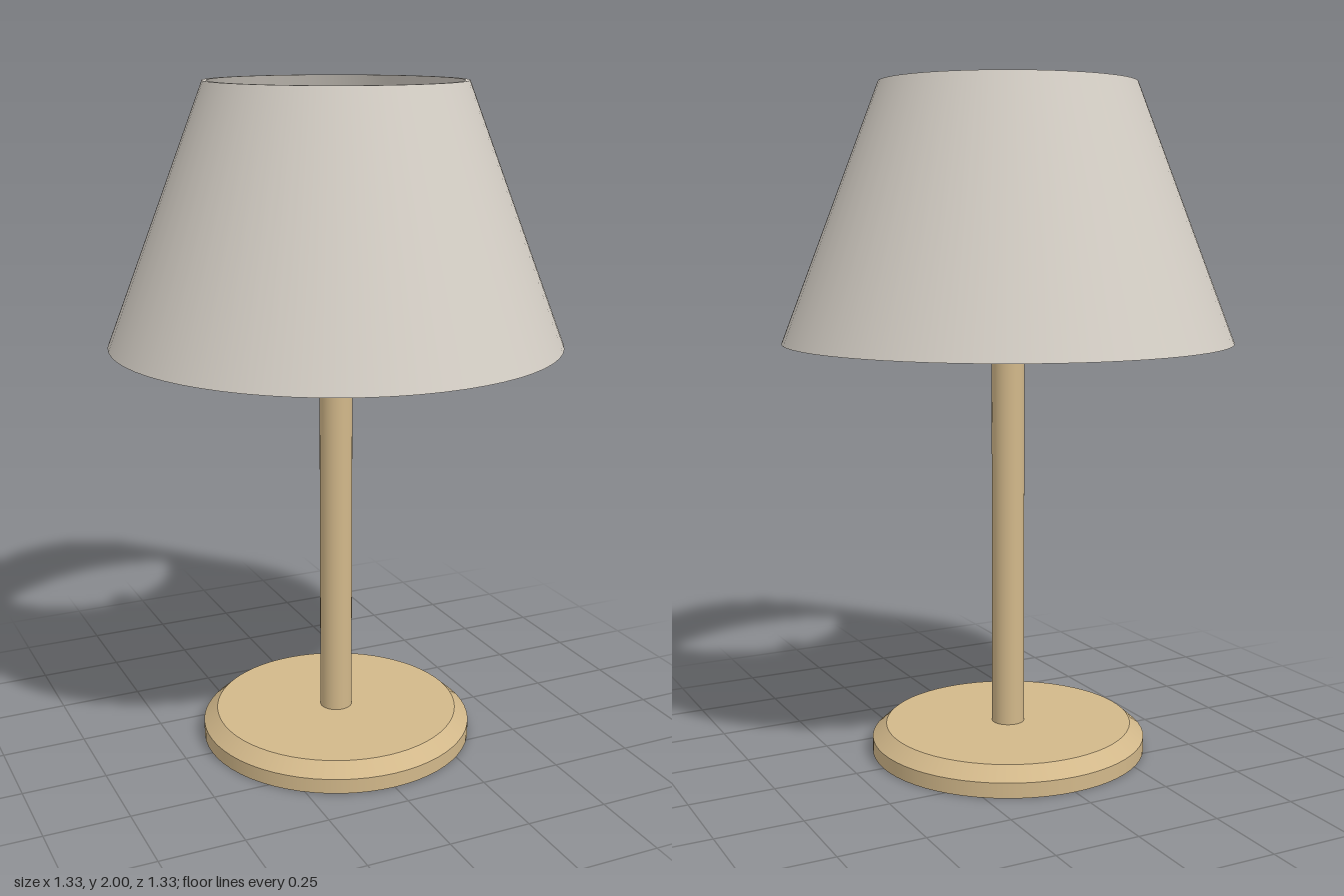
import * as THREE from 'three';
import { mergeGeometries } from 'three/addons/utils/BufferGeometryUtils.js';

const SEGMENTS = 64;

// Revolves each straight run of the profile separately, so rims stay crisp and walls smooth.
// Profiles run upwards on the outside.
function turned(name, profile, material, segments = SEGMENTS) {
  const runs = [];
  for (let i = 0; i < profile.length - 1; i++) {
    const pair = [profile[i], profile[i + 1]].map(([r, y]) => new THREE.Vector2(r, y));
    runs.push(new THREE.LatheGeometry(pair, segments));
  }
  const mesh = new THREE.Mesh(mergeGeometries(runs), material);
  mesh.name = name;
  return mesh;
}

export function createModel() {
  const wood = new THREE.MeshStandardMaterial({ color: 0xd2b88a });
  wood.name = 'pale wood';
  const fabric = new THREE.MeshStandardMaterial({ color: 0xd4cec5 });
  fabric.name = 'warm grey fabric';

  const lamp = new THREE.Group();
  lamp.name = 'tableLamp';

  // Round foot with a bevelled upper edge
  lamp.add(turned('base', [[0, 0], [0.415, 0], [0.415, 0.045], [0.373, 0.083], [0, 0.083]], wood));

  // Straight post, ending inside the shade
  const bottom = 0.08, top = 1.58;
  const post = new THREE.Mesh(new THREE.CylinderGeometry(0.049, 0.049, top - bottom, 32), wood);
  post.name = 'post';
  post.position.y = (top + bottom) / 2;
  lamp.add(post);

  // Thin-walled conical shade, open at both ends
  lamp.add(turned('shade', [[0.665, 1.25], [0.376, 2], [0.363, 2], [0.651, 1.25], [0.665, 1.25]], fabric));

  return lamp;
}
